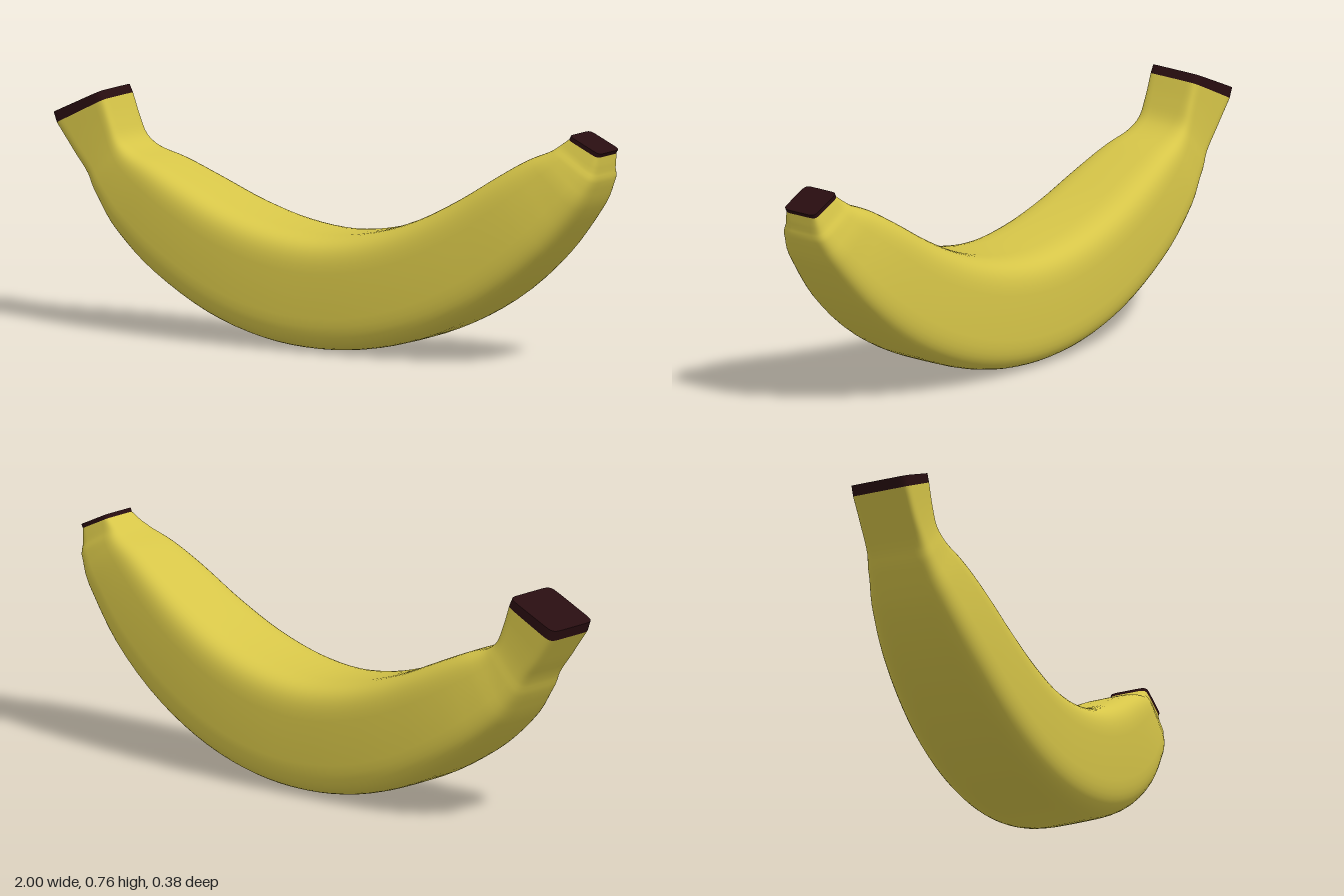
import * as THREE from 'three';

// Cross-sections along the fruit: inner edge x, y, outer edge x, y, half width, corner squareness
const STATIONS = [
  [-0.805, 0.738, -0.987, 0.647, 0.099, 9],
  [-0.78, 0.67, -0.925, 0.562, 0.099, 8],
  [-0.752, 0.612, -0.872, 0.49, 0.104, 6],
  [-0.71, 0.58, -0.83, 0.415, 0.118, 5],
  [-0.62, 0.55, -0.74, 0.305, 0.145, 4.5],
  [-0.5, 0.5, -0.6, 0.193, 0.168, 4.3],
  [-0.34, 0.433, -0.4, 0.084, 0.183, 4.3],
  [-0.17, 0.385, -0.2, 0.022, 0.189, 4.3],
  [0, 0.367, 0, 0.002, 0.19, 4.3],
  [0.17, 0.387, 0.2, 0.02, 0.189, 4.3],
  [0.34, 0.44, 0.4, 0.078, 0.183, 4.3],
  [0.5, 0.52, 0.6, 0.18, 0.17, 4.3],
  [0.64, 0.605, 0.8, 0.345, 0.15, 4.5],
  [0.74, 0.662, 0.91, 0.475, 0.126, 4.5],
  [0.82, 0.695, 0.973, 0.58, 0.1, 5],
  [0.852, 0.716, 0.986, 0.636, 0.078, 6],
  [0.882, 0.737, 0.992, 0.685, 0.065, 8],
];
const STEM_END = [-0.818, 0.764, -0.999, 0.68, 0.099, 9];
const TIP_END = [0.888, 0.749, 0.999, 0.697, 0.065, 8];
const SIDES = 48;

// Rounded-square ring standing across the curve
function ring([tx, ty, bx, by, w, n]) {
  const points = [];
  const soft = (v) => Math.sign(v) * Math.abs(v) ** (2 / n);
  for (let j = 0; j < SIDES; j++) {
    const a = (j / SIDES) * Math.PI * 2;
    const u = (1 + soft(Math.cos(a))) / 2;
    points.push(bx + (tx - bx) * u, by + (ty - by) * u, w * soft(Math.sin(a)));
  }
  return points;
}

// Skin through a list of sections
function loft(sections) {
  const index = [];
  for (let i = 0; i < sections.length - 1; i++) {
    for (let j = 0; j < SIDES; j++) {
      const a = i * SIDES + j;
      const b = i * SIDES + ((j + 1) % SIDES);
      index.push(a, b, a + SIDES, b, b + SIDES, a + SIDES);
    }
  }
  return finish(sections.flatMap(ring), index);
}

// Flat face closing a section; facing is -1 towards the stem, 1 towards the tip
function disc(section, facing) {
  const [tx, ty, bx, by] = section;
  const index = [];
  for (let j = 0; j < SIDES; j++) {
    const k = (j + 1) % SIDES;
    index.push(SIDES, facing > 0 ? j : k, facing > 0 ? k : j);
  }
  return finish([...ring(section), (tx + bx) / 2, (ty + by) / 2, 0], index);
}

function finish(positions, index) {
  const geometry = new THREE.BufferGeometry();
  geometry.setAttribute('position', new THREE.Float32BufferAttribute(positions, 3));
  geometry.setIndex(index);
  geometry.computeVertexNormals();
  return geometry;
}

// Smooth in-between sections
function refine(stations, steps) {
  const spline = (a, b, c) =>
    new THREE.CatmullRomCurve3(stations.map((s) => new THREE.Vector3(s[a], s[b], c < 0 ? 0 : s[c])));
  const inner = spline(0, 1, 4);
  const outer = spline(2, 3, 5);
  const sections = [];
  for (let i = 0; i <= steps; i++) {
    const p = inner.getPoint(i / steps);
    const q = outer.getPoint(i / steps);
    sections.push([p.x, p.y, q.x, q.y, p.z, q.z]);
  }
  return sections;
}

export function createModel() {
  const peel = new THREE.MeshStandardMaterial({ name: 'yellow peel', color: 0xd6c548 });
  const dark = new THREE.MeshStandardMaterial({ name: 'dark brown', color: 0x280d10 });
  const model = new THREE.Group();
  model.name = 'banana';

  const add = (name, geometry, material, parent = model) => {
    const mesh = new THREE.Mesh(geometry, material);
    mesh.name = name;
    parent.add(mesh);
  };

  // Curved fruit with its stem
  add('peel', loft(refine(STATIONS, 64)), peel);

  // Dark cut stem and dark tip
  const caps = [
    ['stemCap', [STEM_END, STATIONS[0]], STEM_END, -1],
    ['tipCap', [STATIONS[STATIONS.length - 1], TIP_END], TIP_END, 1],
  ];
  for (const [name, rim, end, facing] of caps) {
    const cap = new THREE.Group();
    cap.name = name;
    add(name + 'Rim', loft(rim), dark, cap);
    add(name + 'Face', disc(end, facing), dark, cap);
    model.add(cap);
  }
  return model;
}
